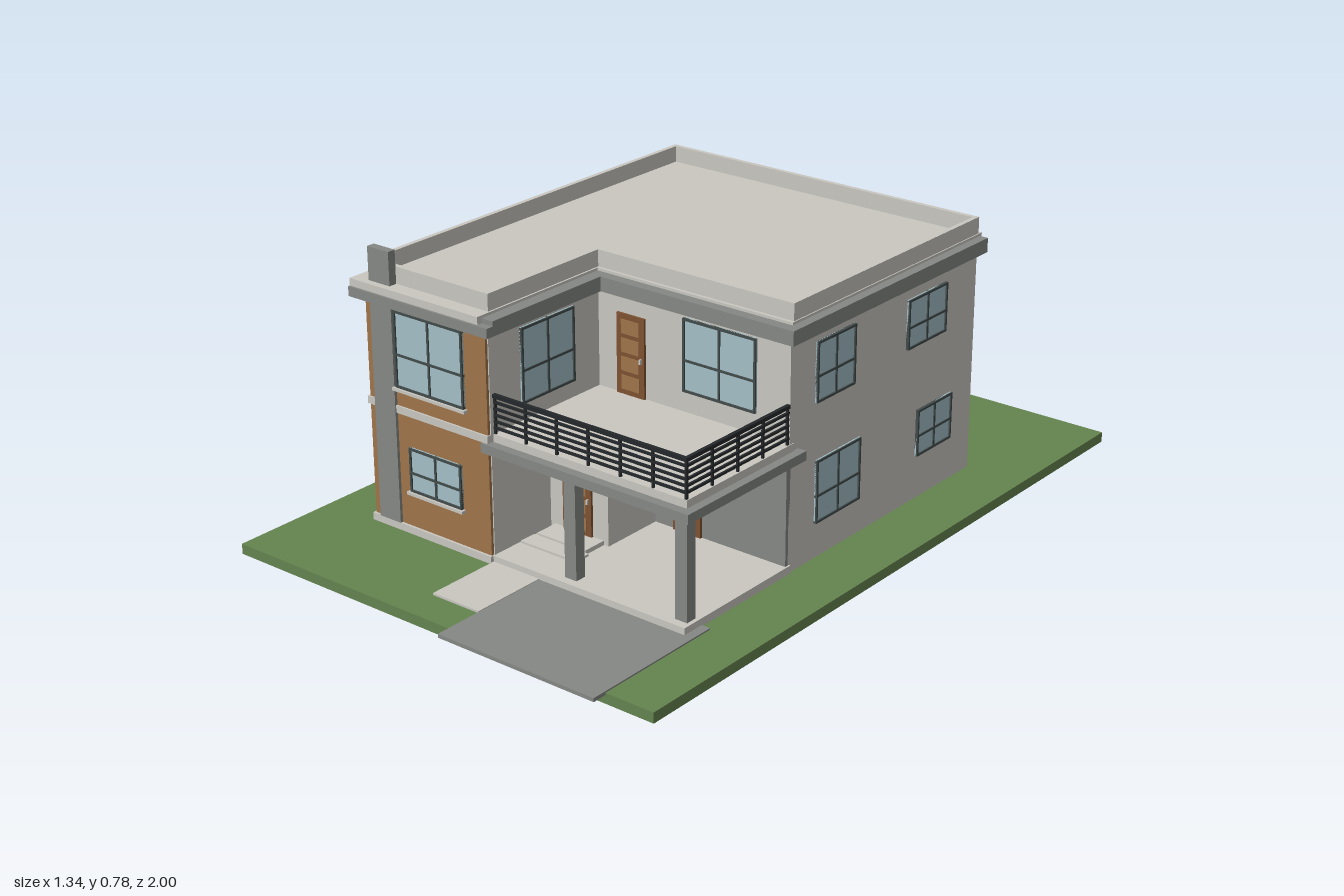
import * as THREE from 'three';

const mat = (name, color) => {
  const m = new THREE.MeshStandardMaterial({ color });
  m.name = name;
  return m;
};

export function createModel() {
  const house = new THREE.Group();
  house.name = 'house';
  const M = {
    wall: mat('off white render', 0xc9c7c0),
    grey: mat('dark grey trim', 0x868885),
    brown: mat('brown cladding', 0xa0744a),
    door: mat('door wood', 0x7d5230),
    glass: mat('window glass', 0xa2bec6),
    frame: mat('window frame', 0x414a4a),
    rail: mat('railing black', 0x25282a),
    grass: mat('lawn green', 0x64834f),
  };

  // Box given by its limits on each axis
  const box = (name, m, x0, x1, y0, y1, z0, z1, parent = house) => {
    const mesh = new THREE.Mesh(new THREE.BoxGeometry(x1 - x0, y1 - y0, z1 - z0), m);
    mesh.position.set((x0 + x1) / 2, (y0 + y1) / 2, (z0 + z1) / 2);
    mesh.name = name;
    parent.add(mesh);
    return mesh;
  };

  // L-shaped floor plan: main block plus the front wing on the -x side
  const plan = (l, r, back, front, wingX, mainZ) =>
    [[l, front], [wingX, front], [wingX, mainZ], [r, mainZ], [r, back], [l, back]]
      .map(([x, z]) => new THREE.Vector2(x, -z));
  const slab = (name, m, outline, y0, y1, hole) => {
    const shape = new THREE.Shape(outline);
    if (hole) shape.holes.push(new THREE.Path(hole));
    const g = new THREE.ExtrudeGeometry(shape, { depth: y1 - y0, bevelEnabled: false });
    g.rotateX(-Math.PI / 2);
    g.translate(0, y0, 0);
    const mesh = new THREE.Mesh(g, m);
    mesh.name = name;
    house.add(mesh);
  };

  // Ground, driveway and path
  box('lawn', M.grass, -0.67, 0.67, 0, 0.028, -1, 0.96);
  box('driveway', M.grey, 0.05, 0.53, 0.022, 0.032, 0.58, 1);
  box('path', M.wall, -0.1, 0.05, 0.022, 0.034, 0.64, 0.86);

  // Walls and base
  slab('walls', M.wall, plan(-0.505, 0.5, -0.575, 0.64, -0.1, 0.235), 0.02, 0.69);
  box('wingBase', M.wall, -0.51, -0.1, 0.03, 0.05, 0.6, 0.655);
  box('porchFloor', M.wall, -0.1, 0.505, 0.025, 0.05, 0.23, 0.645);
  box('entranceHall', M.wall, -0.1, 0.09, 0.04, 0.33, 0.23, 0.43);
  box('porchBackWall', M.grey, 0.09, 0.5, 0.05, 0.33, 0.23, 0.245);
  box('upperDoorStep', M.wall, -0.085, 0.075, 0.05, 0.062, 0.43, 0.5);
  box('lowerDoorStep', M.wall, -0.095, 0.085, 0.05, 0.056, 0.5, 0.55);

  // Wing cladding, floor band and tall fin
  box('lowerCladding', M.brown, -0.505, -0.103, 0.05, 0.355, 0.638, 0.648);
  box('upperCladding', M.brown, -0.505, -0.103, 0.373, 0.65, 0.638, 0.648);
  box('floorBand', M.wall, -0.51, -0.1, 0.354, 0.374, 0.638, 0.653);
  box('facadeFin', M.grey, -0.482, -0.41, 0.05, 0.78, 0.633, 0.656);

  // Roof: fascia along the front and right side, light eaves, parapet
  slab('fascia', M.grey, plan(-0.5, 0.53, -0.578, 0.66, -0.065, 0.267), 0.645, 0.684);
  box('wingFascia', M.grey, -0.53, -0.065, 0.645, 0.671, 0.6, 0.681);
  slab('eaves', M.wall, plan(-0.53, 0.505, -0.587, 0.675, -0.1, 0.237), 0.655, 0.691);
  slab('parapet', M.wall, plan(-0.507, 0.502, -0.576, 0.632, -0.105, 0.228), 0.685, 0.736,
    plan(-0.494, 0.489, -0.563, 0.618, -0.119, 0.214));

  // Balcony, its wooden ceiling and pillars
  box('balconyFascia', M.grey, -0.12, 0.525, 0.328, 0.353, 0.2, 0.657);
  box('balconyFloor', M.wall, -0.1, 0.502, 0.35, 0.374, 0.22, 0.632);
  box('porchCeiling', M.brown, -0.098, 0.5, 0.323, 0.329, 0.25, 0.635);
  for (const x of [0.133, 0.476]) box('porchPillar', M.grey, x - 0.018, x + 0.018, 0.05, 0.33, 0.59, 0.622);

  // Railing along the balcony front and side
  const railing = new THREE.Group();
  railing.name = 'balconyRailing';
  house.add(railing);
  const t = 0.003;
  for (let i = 0; i < 6; i++) {
    const y = 0.39 + i * 0.0168, h = i === 5 ? 0.005 : t;
    box('frontRail', M.rail, -0.1, 0.499, y - h, y + h, 0.627 - h, 0.627 + h, railing);
    box('sideRail', M.rail, 0.496 - h, 0.496 + h, y - h, y + h, 0.235, 0.63, railing);
  }
  for (let i = 0; i < 7; i++) {
    const x = -0.096 + i * 0.0987;
    box('frontPost', M.rail, x - t, x + t, 0.37, 0.477, 0.624, 0.63, railing);
  }
  for (let i = 0; i < 4; i++) {
    const z = 0.24 + i * 0.097;
    box('sidePost', M.rail, 0.493, 0.499, 0.37, 0.477, z - t, z + t, railing);
  }

  // Fixtures are built facing +z, then turned onto a wall: a0..a1 runs along that wall
  const faces = {
    front: (a, d) => [a, d, 0],
    back: (a, d) => [a, d, Math.PI],
    right: (a, d) => [d, a, Math.PI / 2],
    left: (a, d) => [d, a, -Math.PI / 2],
  };
  const mount = (name, face, depth, a0, a1, y0) => {
    const g = new THREE.Group();
    const [x, z, turn] = faces[face]((a0 + a1) / 2, depth);
    g.name = name;
    g.position.set(x, y0, z);
    g.rotation.y = turn;
    house.add(g);
    return g;
  };

  // Four-pane window with its crossbar a little below the middle
  const addWindow = (face, depth, a0, a1, y0, y1, sill) => {
    const g = mount('window', face, depth, a0, a1, y0);
    const w = (a1 - a0) / 2, h = y1 - y0, f = 0.006, c = h * 0.43;
    box('glass', M.glass, -w, w, 0, h, -0.002, 0.004, g);
    box('frameLeft', M.frame, -w, -w + f, 0, h, -0.002, 0.008, g);
    box('frameRight', M.frame, w - f, w, 0, h, -0.002, 0.008, g);
    box('frameTop', M.frame, -w, w, h - f, h, -0.002, 0.008, g);
    box('frameBottom', M.frame, -w, w, 0, f, -0.002, 0.008, g);
    box('mullion', M.frame, -f / 2, f / 2, 0, h, -0.002, 0.007, g);
    box('crossbar', M.frame, -w, w, c - f / 2, c + f / 2, -0.002, 0.007, g);
    if (sill) box('sill', M.wall, -w - 0.007, w + 0.007, -0.008, 0, -0.002, 0.014, g);
  };

  // Door with four lighter panels and a handle
  const addDoor = (face, depth, a0, a1, y0, y1) => {
    const g = mount('door', face, depth, a0, a1, y0);
    const w = (a1 - a0) / 2, h = y1 - y0, step = (h - 0.016) / 4;
    box('doorLeaf', M.door, -w, w, 0, h, -0.002, 0.007, g);
    for (let i = 0; i < 4; i++) {
      const y = 0.008 + i * step;
      box('doorPanel', M.brown, -w + 0.016, w - 0.016, y + 0.006, y + step - 0.006, 0.004, 0.009, g);
    }
    box('doorHandle', M.wall, w - 0.012, w - 0.007, h * 0.44, h * 0.5, 0.006, 0.014, g);
  };

  [
    ['front', 0.648, -0.405, -0.175, 0.425, 0.63, true],
    ['front', 0.648, -0.37, -0.193, 0.15, 0.27, true],
    ['front', 0.235, 0.175, 0.4, 0.43, 0.625],
    ['right', -0.1, 0.335, 0.53, 0.42, 0.62],
    ['right', 0.09, 0.278, 0.38, 0.157, 0.265],
    ['right', 0.5, -0.026, 0.134, 0.45, 0.61],
    ['right', 0.5, -0.432, -0.257, 0.465, 0.6],
    ['right', 0.5, -0.058, 0.129, 0.125, 0.295],
    ['right', 0.5, -0.474, -0.315, 0.15, 0.28],
    ['back', -0.575, 0.157, 0.34, 0.435, 0.59],
    ['back', -0.575, -0.395, -0.23, 0.45, 0.59],
    ['back', -0.575, 0.18, 0.375, 0.12, 0.28],
    ['back', -0.575, -0.41, -0.25, 0.16, 0.28],
    ['left', -0.505, -0.51, -0.385, 0.445, 0.59],
    ['left', -0.505, -0.23, -0.08, 0.435, 0.59],
    ['left', -0.505, 0.39, 0.52, 0.445, 0.595],
    ['left', -0.505, -0.51, -0.385, 0.165, 0.285],
    ['left', -0.505, -0.235, -0.08, 0.135, 0.295],
    ['left', -0.505, 0.4, 0.52, 0.13, 0.255],
  ].forEach((w) => addWindow(...w));

  addDoor('front', 0.43, -0.053, 0.04, 0.06, 0.27);
  addDoor('front', 0.245, 0.152, 0.24, 0.05, 0.27);
  addDoor('front', 0.235, -0.036, 0.053, 0.374, 0.59);
  addDoor('back', -0.575, -0.08, 0.01, 0.045, 0.26);

  // Porch lamps beside the front door
  for (const x of [-0.067, 0.067]) {
    box('lampBack', M.frame, x - 0.007, x + 0.007, 0.285, 0.311, 0.428, 0.434);
    box('lamp', M.wall, x - 0.005, x + 0.005, 0.288, 0.308, 0.432, 0.446);
  }

  return house;
}
